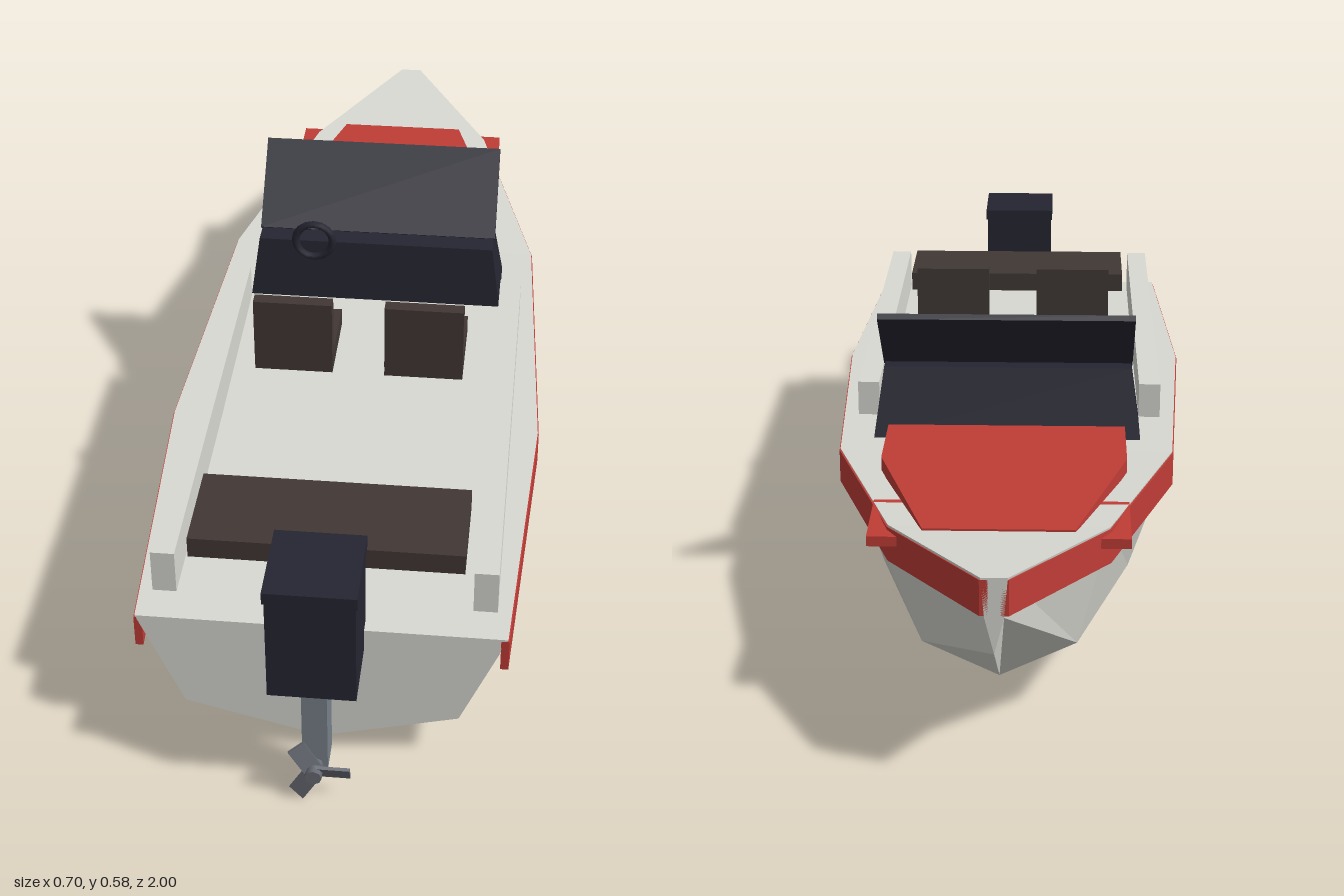
import * as THREE from 'three';

const mat = (name, color) => {
  const m = new THREE.MeshStandardMaterial({ color });
  m.name = name;
  return m;
};

// Skins closed loops of [x, y, z] running from +z to -z (clockwise seen from +z), with end caps
function loft(loops) {
  const n = loops[0].length, pos = [];
  const tri = (...pts) => pts.forEach((p) => pos.push(...p));
  for (let i = 0; i < loops.length - 1; i++) {
    for (let j = 0; j < n; j++) {
      const k = (j + 1) % n, A = loops[i], B = loops[i + 1];
      tri(A[j], A[k], B[k]);
      tri(A[j], B[k], B[j]);
    }
  }
  const first = loops[0], last = loops[loops.length - 1];
  for (let j = 1; j < n - 1; j++) {
    tri(first[0], first[j + 1], first[j]);
    tri(last[0], last[j], last[j + 1]);
  }
  const g = new THREE.BufferGeometry();
  g.setAttribute('position', new THREE.Float32BufferAttribute(pos, 3));
  g.computeVertexNormals();
  return g;
}

export function createModel() {
  const root = new THREE.Group();
  root.name = 'motorboat';

  const white = mat('hullWhite', 0xd8d9d2);
  const red = mat('trimRed', 0xc03c36);
  const navy = mat('darkNavy', 0x252532);
  const brown = mat('seatBrown', 0x413835);
  const steel = mat('legSteel', 0x78828a);
  const propGrey = mat('propellerGrey', 0x686b74);

  const add = (name, geo, material, parent = root) => {
    const m = new THREE.Mesh(geo, material);
    m.name = name;
    parent.add(m);
    return m;
  };
  // Box given by its minimum and maximum on each axis
  const box = (name, [x0, x1], [y0, y1], [z0, z1], material, parent) => {
    const g = new THREE.BoxGeometry(x1 - x0, y1 - y0, z1 - z0);
    g.translate((x0 + x1) / 2, (y0 + y1) / 2, (z0 + z1) / 2);
    return add(name, g, material, parent);
  };

  // Hull stations: z, deck half width, deck y, chine half width, chine y, keel y
  const stations = [
    [0.87, 0.32, 0.293, 0.24, 0.102, 0.038],
    [0.3, 0.35, 0.302, 0.26, 0.08, 0.013],
    [-0.3, 0.315, 0.322, 0.235, 0.085, 0.02],
    [-0.73, 0.19, 0.355, 0.135, 0.135, 0.07],
    [-1, 0.022, 0.385, 0.016, 0.315, 0.25],
  ];
  add('hull', loft(stations.map(([z, w, yd, c, yc, yk]) => [
    [w, yd, z], [c, yc, z], [0, yk, z], [-c, yc, z], [-w, yd, z],
  ])), white);

  // Rub strake along each side
  for (const s of [1, -1]) {
    const loops = stations.map(([z, w, yd]) => {
      const o = w + 0.002, i = w - 0.012, t = yd - 0.004, b = yd - 0.067;
      const loop = [[s * o, t, z], [s * o, b, z], [s * i, b, z], [s * i, t, z]];
      return s > 0 ? loop : loop.reverse();
    });
    add(s > 0 ? 'leftStrake' : 'rightStrake', loft(loops), red);
  }

  // Foredeck panel and the low corners of its base
  const panel = new THREE.Shape([
    [-0.225, 0.275], [0.225, 0.275], [0.225, 0.44], [0.13, 0.76], [-0.13, 0.76], [-0.225, 0.44],
  ].map((p) => new THREE.Vector2(...p)));
  const panelGeo = new THREE.ExtrudeGeometry(panel, { depth: 0.026, bevelEnabled: false });
  panelGeo.rotateX(-Math.PI / 2).translate(0, 0.336, 0);
  add('foredeckPanel', panelGeo, red);
  box('foredeckBase', [-0.225, 0.225], [0.328, 0.346], [-0.76, -0.6], red);

  // Side coamings
  for (const s of [1, -1]) {
    const c = box(s > 0 ? 'leftCoaming' : 'rightCoaming', [-0.021, 0.021], [0.3, 0.384], [-0.1, 0.81], white);
    c.position.x = s * 0.278;
  }

  // Console, tapering upward
  const con = new THREE.BoxGeometry(1, 1, 1);
  const p = con.attributes.position;
  for (let i = 0; i < p.count; i++) {
    const top = p.getY(i) > 0, back = p.getZ(i) > 0;
    p.setXYZ(i, Math.sign(p.getX(i)) * (top ? 0.238 : 0.256), top ? 0.45 : 0.322,
      back ? (top ? -0.107 : -0.095) : (top ? -0.195 : -0.243));
  }
  con.computeVertexNormals();
  add('console', con, navy);

  // Windscreen, raked toward the bow
  const screen = add('windscreen', new THREE.BoxGeometry(0.482, 0.19, 0.012), navy);
  screen.position.set(0, 0.515, -0.22);
  screen.rotation.x = -Math.PI / 4;

  // Steering wheel
  const wheel = add('steeringWheel', new THREE.TorusGeometry(0.038, 0.008, 6, 16), navy);
  wheel.position.set(-0.125, 0.456, -0.1);

  // Two seats and the stern bench
  for (const s of [1, -1]) {
    const seat = new THREE.Group();
    seat.name = s > 0 ? 'leftSeat' : 'rightSeat';
    seat.position.x = s * 0.125;
    box('cushion', [-0.075, 0.075], [0.37, 0.406], [0.07, 0.235], brown, seat);
    box('backrest', [-0.075, 0.075], [0.39, 0.524], [0.21, 0.236], brown, seat);
    root.add(seat);
  }
  box('sternBench', [-0.24, 0.24], [0.355, 0.395], [0.6, 0.78], brown);

  // Outboard motor
  const motor = new THREE.Group();
  motor.name = 'outboardMotor';
  root.add(motor);
  box('cowl', [-0.075, 0.075], [0.25, 0.455], [0.845, 0.995], navy, motor);
  box('cowlCap', [-0.078, 0.078], [0.455, 0.478], [0.84, 1], navy, motor);
  box('leg', [-0.022, 0.022], [0.055, 0.25], [0.905, 0.967], steel, motor);

  // Propeller with three pitched blades
  const prop = new THREE.Group();
  prop.name = 'propeller';
  prop.position.set(0, 0.066, 0.983);
  motor.add(prop);
  const hub = new THREE.CylinderGeometry(0.015, 0.015, 0.034, 8).rotateX(Math.PI / 2);
  add('hub', hub.toNonIndexed(), propGrey, prop);
  for (let i = 0; i < 3; i++) {
    const g = new THREE.BoxGeometry(0.06, 0.032, 0.006);
    g.rotateX(0.4).translate(0.032, 0, 0).rotateZ((i * 2 * Math.PI) / 3);
    add('blade', g, propGrey, prop);
  }
  return root;
}
